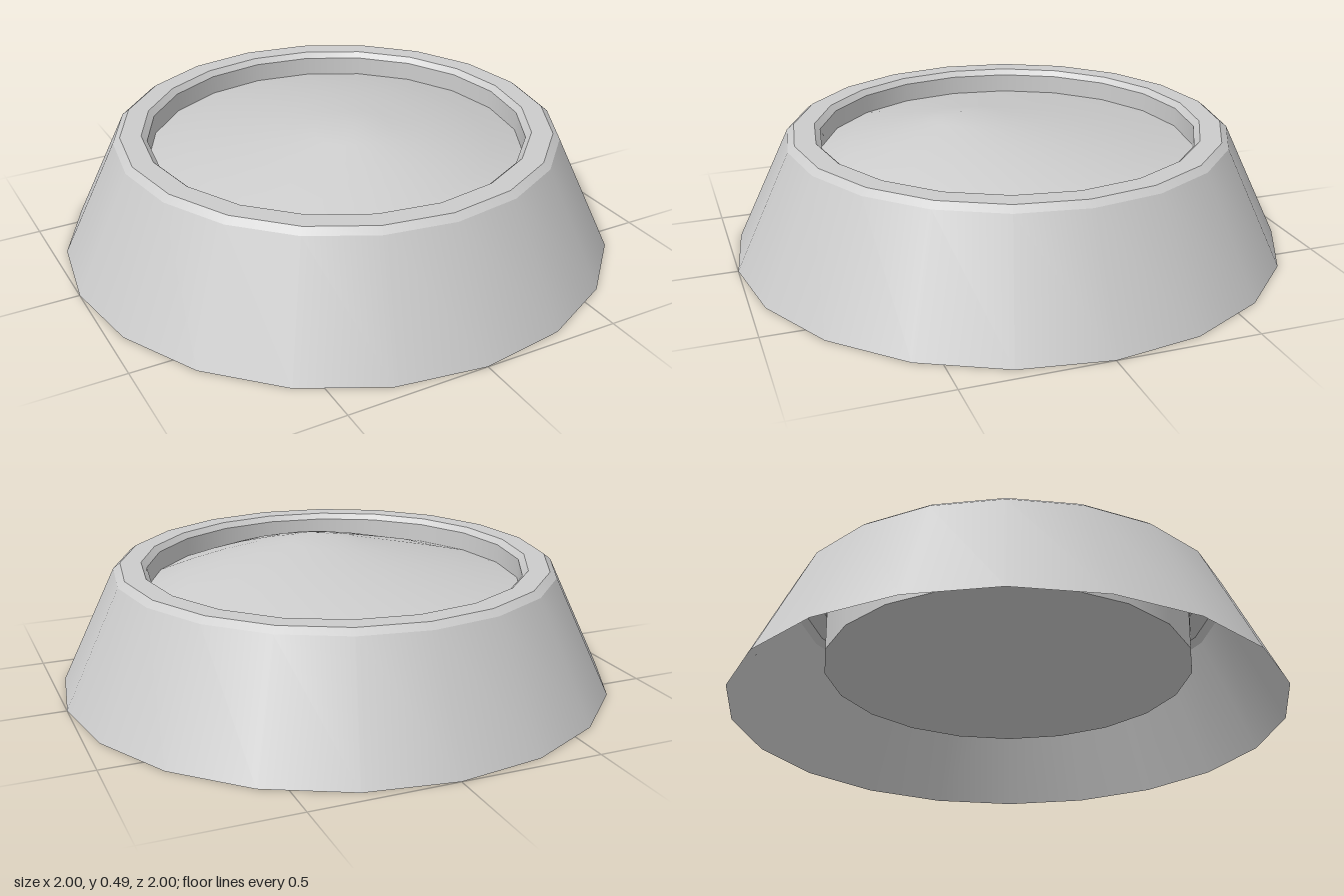
import * as THREE from 'three';
import { mergeGeometries } from 'three/addons/utils/BufferGeometryUtils.js';

const SIDES = 20;

// One lathe per profile segment: smooth around, sharp between segments
function sharpLathe(points) {
  const strips = [];
  for (let i = 0; i < points.length - 1; i++) {
    const pair = [points[i], points[i + 1]].map(([r, y]) => new THREE.Vector2(r, y));
    strips.push(new THREE.LatheGeometry(pair, SIDES));
  }
  return mergeGeometries(strips);
}

// Off-centre mound: rings spread from the peak to the round edge
function moundGeometry(radius, edgeY, peak, rings) {
  const positions = [peak.x, peak.y, peak.z];
  const indices = [];
  const drop = peak.y - edgeY;
  for (let k = 1; k <= rings; k++) {
    const t = k / rings;
    for (let i = 0; i < SIDES; i++) {
      const a = (i / SIDES) * Math.PI * 2;
      const x = THREE.MathUtils.lerp(peak.x, Math.sin(a) * radius, t);
      const z = THREE.MathUtils.lerp(peak.z, Math.cos(a) * radius, t);
      const bulge = 0.012 * Math.sin(a) * Math.sin(Math.PI * t);
      positions.push(x, peak.y - drop * (0.58 * t + 0.42 * t * t) + bulge, z);

      const j = (i + 1) % SIDES;
      const outer = 1 + (k - 1) * SIDES;
      const inner = outer - SIDES;
      if (k === 1) indices.push(0, outer + i, outer + j);
      else indices.push(inner + i, outer + i, outer + j, inner + i, outer + j, inner + j);
    }
  }
  const geometry = new THREE.BufferGeometry();
  geometry.setAttribute('position', new THREE.Float32BufferAttribute(positions, 3));
  geometry.setIndex(indices);
  geometry.computeVertexNormals();
  return geometry;
}

export function createModel() {
  const group = new THREE.Group();
  const material = new THREE.MeshStandardMaterial({ color: 0xcccccc, side: THREE.DoubleSide });

  function add(name, geometry) {
    const mesh = new THREE.Mesh(geometry, material);
    mesh.name = name;
    group.add(mesh);
  }

  // Sloping outer skirt, open underneath, with a bevelled rim
  add('outerWall', sharpLathe([[1, 0], [0.8, 0.42], [0.775, 0.44], [0.7, 0.44], [0.68, 0.42]]));

  // Inner basin: straight wall and flat floor
  add('basin', sharpLathe([[0.68, 0.42], [0.675, 0.18], [0, 0.18]]));

  // Heaped filling, peaking towards the front
  add('mound', moundGeometry(0.68, 0.35, new THREE.Vector3(-0.02, 0.493, 0.17), 5));

  return group;
}
